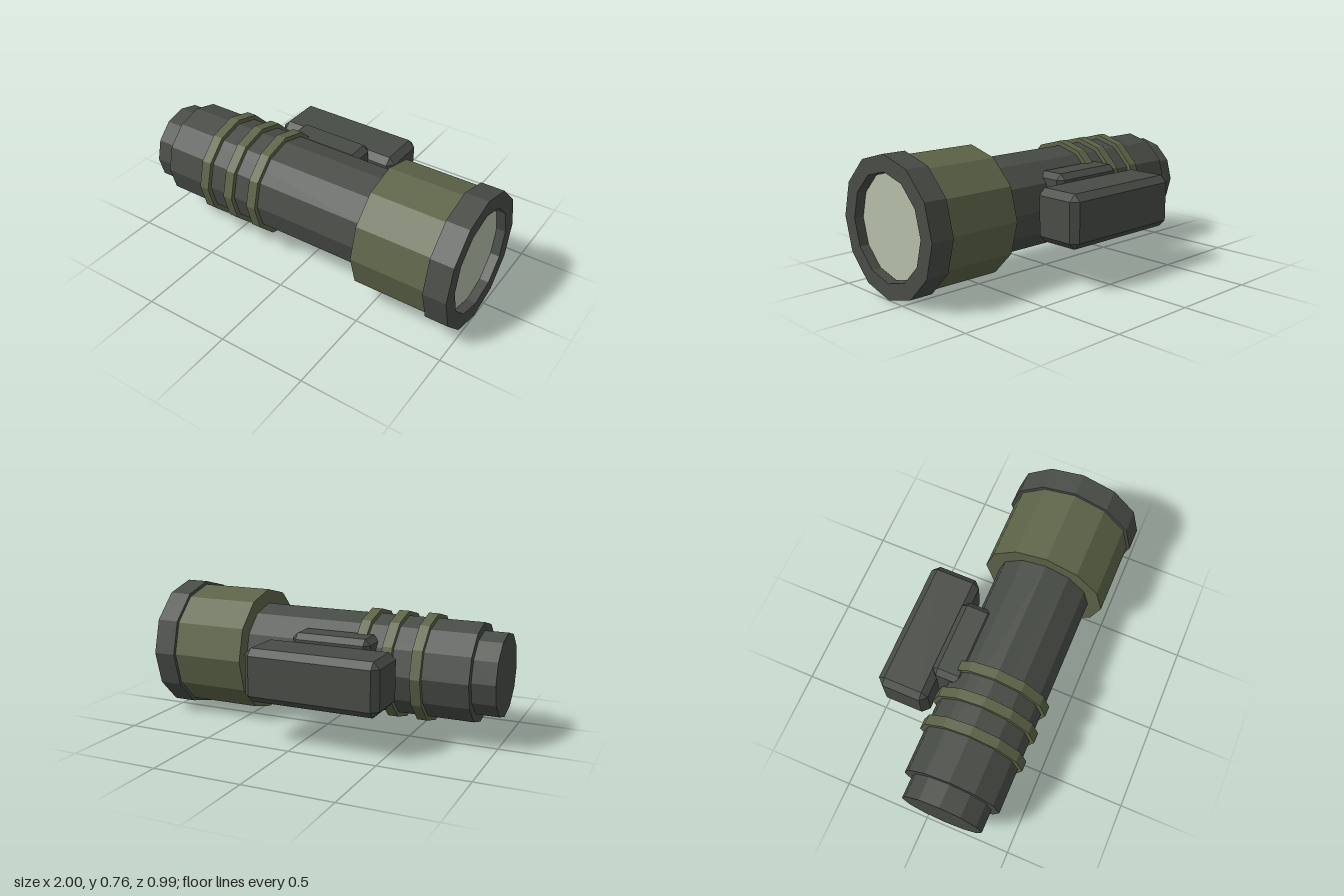
import * as THREE from 'three';
import { ConvexGeometry } from 'three/addons/geometries/ConvexGeometry.js';

const SIDES = 12;
const flat = (name, color) => {
  const m = new THREE.MeshStandardMaterial({ color });
  m.name = name;
  m.flatShading = true;
  return m;
};

// Box with all edges and corners cut at an angle
function chamferBox(min, max, c) {
  const pts = [];
  const half = max.map((v, i) => (v - min[i]) / 2);
  const mid = max.map((v, i) => (v + min[i]) / 2);
  for (const sx of [-1, 1]) for (const sy of [-1, 1]) for (const sz of [-1, 1]) {
    for (let full = 0; full < 3; full++) {
      const p = [sx, sy, sz].map((s, i) => mid[i] + s * (half[i] - (i === full ? 0 : c)));
      pts.push(new THREE.Vector3(...p));
    }
  }
  return new ConvexGeometry(pts);
}

export function createModel() {
  const model = new THREE.Group();
  model.name = 'flashlight';
  const dark = flat('dark grey', 0x484c46);
  const olive = flat('olive', 0x5d6448);
  const pale = flat('pale lens', 0xb6bea9);

  // Everything round lies along x on this axis
  const barrel = new THREE.Group();
  barrel.name = 'barrel';
  barrel.position.set(0, 0.38, 0.115);
  barrel.rotation.z = -Math.PI / 2;
  model.add(barrel);

  const add = (parent, name, geometry, material) => {
    const mesh = new THREE.Mesh(geometry, material);
    mesh.name = name;
    parent.add(mesh);
    return mesh;
  };
  const drum = (name, x0, x1, r, material) => {
    const geometry = new THREE.CylinderGeometry(r, r, x1 - x0, SIDES);
    geometry.translate(0, (x0 + x1) / 2, 0);
    return add(barrel, name, geometry, material);
  };

  drum('tailCap', -1, -0.85, 0.233, dark);
  drum('body', -0.87, 0.46, 0.278, dark);
  drum('head', 0.44, 0.872, 0.361, olive);
  drum('lens', 0.86, 0.95, 0.285, pale);

  // Grip rings
  [-0.585, -0.415, -0.252].forEach((x, i) =>
    drum('gripRing' + (i + 1), x - 0.029, x + 0.029, 0.304, olive));

  // Open front rim around the lens
  const profile = [[0.29, 0.87], [0.38, 0.87], [0.38, 1], [0.29, 1], [0.29, 0.87]];
  add(barrel, 'rim', new THREE.LatheGeometry(
    profile.map(([r, x]) => new THREE.Vector2(r, x)), SIDES), dark);

  // Side bracket and the box it carries
  add(model, 'bracket', chamferBox([-0.345, 0.185, -0.238], [0.117, 0.577, -0.05], 0.032), dark);
  add(model, 'sideBox', chamferBox([-0.5, 0.235, -0.497], [0.275, 0.53, -0.203], 0.037), dark);

  return model;
}
